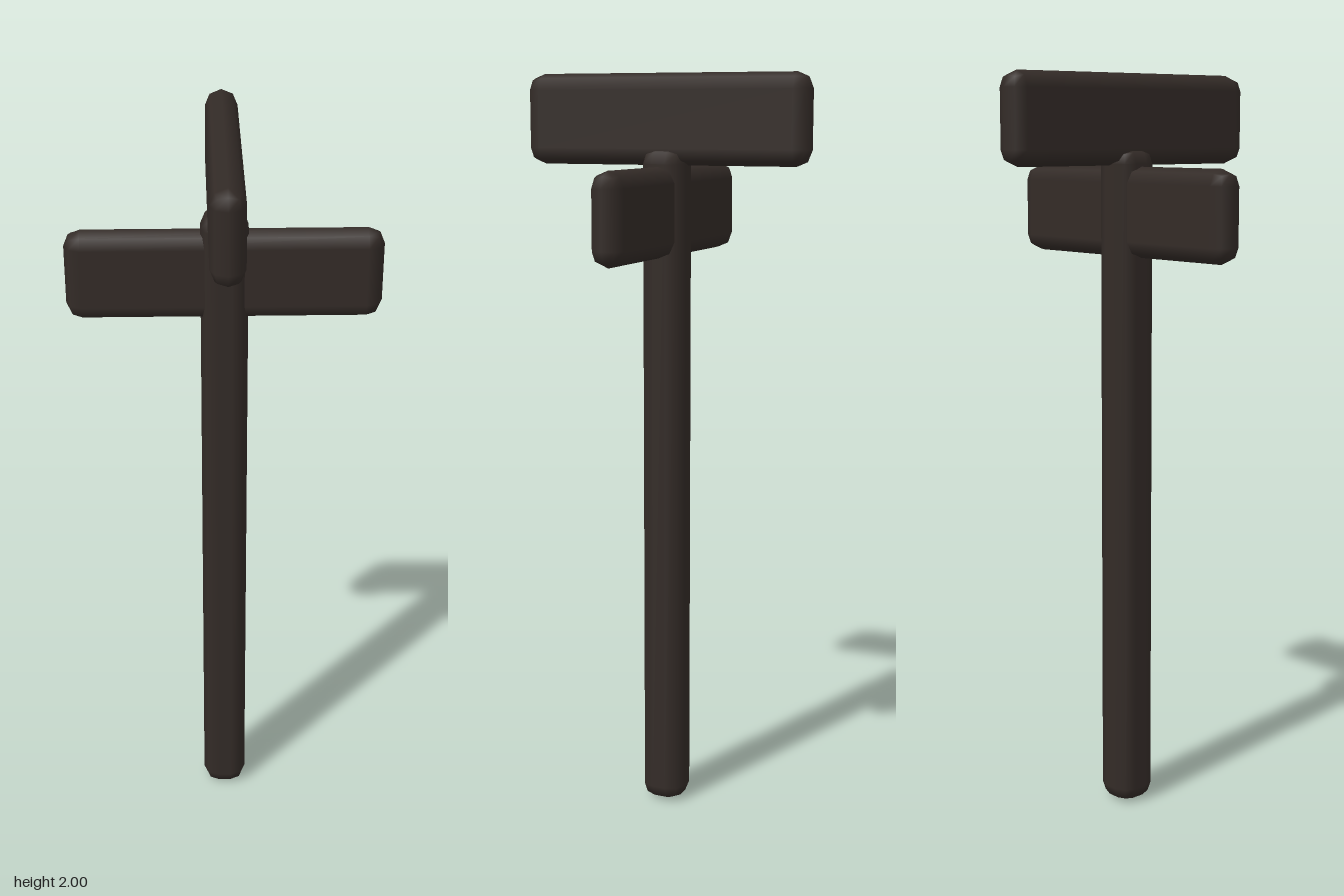
import * as THREE from 'three';
import { RoundedBoxGeometry } from 'three/addons/geometries/RoundedBoxGeometry.js';

const BEVEL = 0.042;

export function createModel() {
  const group = new THREE.Group();
  group.name = 'signpost';
  const material = new THREE.MeshStandardMaterial({ color: 0x332b27 });

  // A bar with softly bevelled edges, centred at height y
  const addBar = (name, width, height, depth, y) => {
    const mesh = new THREE.Mesh(new RoundedBoxGeometry(width, height, depth, 1, BEVEL), material);
    mesh.name = name;
    mesh.position.y = y;
    group.add(mesh);
    return mesh;
  };

  // Upright post
  addBar('post', 0.12, 1.81, 0.12, 0.905);

  // Two crossed sign boards, the upper one turned a quarter
  addBar('lowerBoard', 0.8, 0.236, 0.085, 1.643);
  addBar('upperBoard', 0.8, 0.236, 0.085, 1.882).rotation.y = Math.PI / 2;

  return group;
}
